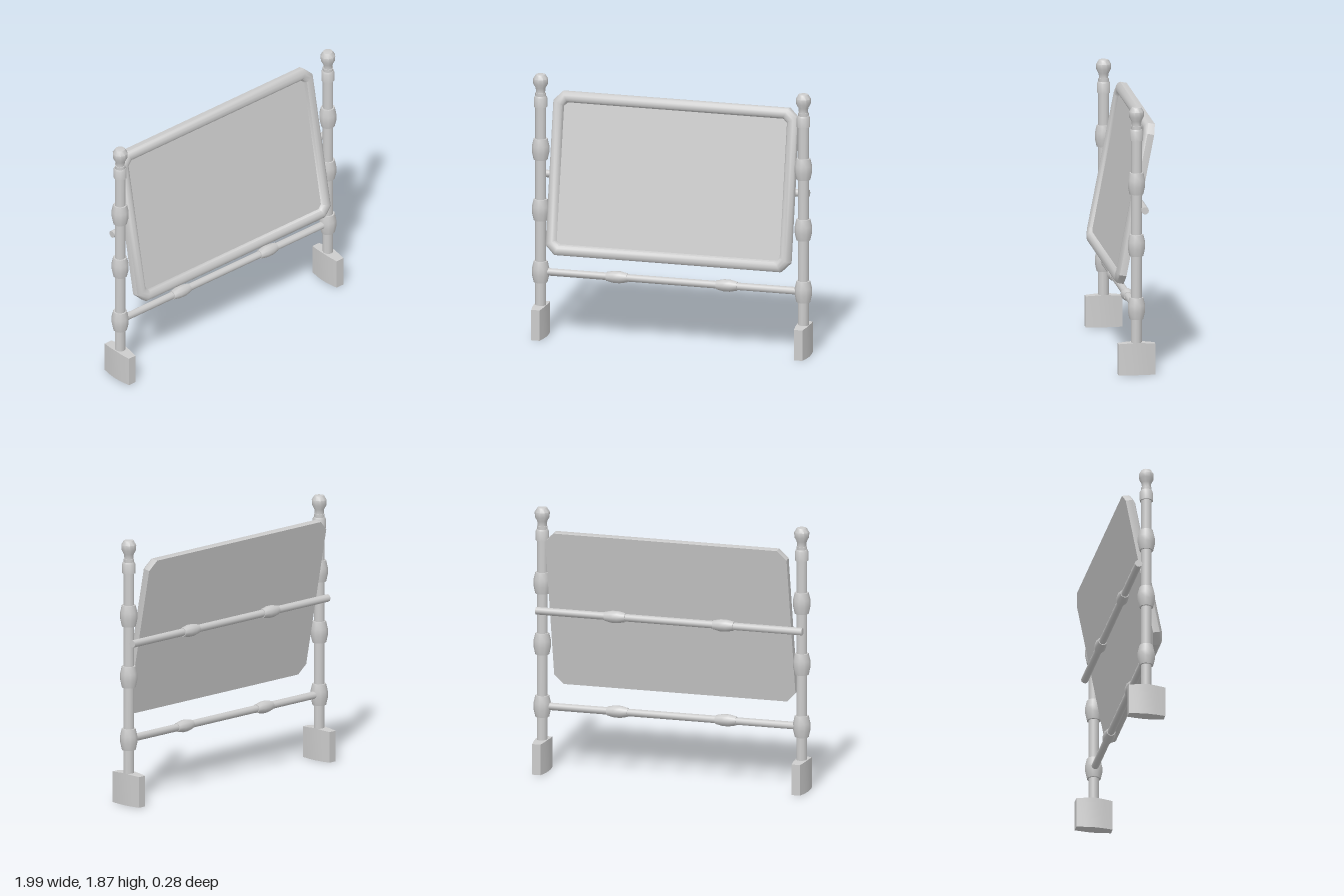
import * as THREE from 'three';
import { toCreasedNormals } from 'three/addons/utils/BufferGeometryUtils.js';

const material = new THREE.MeshStandardMaterial({ color: 0xcccccc });
const SIDES = 10;

function addMesh(parent, name, geometry, crease = 0.75) {
  const mesh = new THREE.Mesh(toCreasedNormals(geometry, crease), material);
  mesh.name = name;
  parent.add(mesh);
  return mesh;
}

// Turned part from [radius, height] pairs
const turned = (profile) =>
  new THREE.LatheGeometry(profile.map(([r, y]) => new THREE.Vector2(r, y)), SIDES);

// Barrel-shaped bead centred on its own axis
const bead = (end, mid, half) => turned([
  [0, -half], [end, -half], [mid, -half * 0.3], [mid, half * 0.3], [end, half], [0, half],
]);

// Rectangle with cut corners, anticlockwise
const cutRectangle = (w, h, c) => [
  [w, -h + c], [w, h - c], [w - c, h], [-w + c, h],
  [-w, h - c], [-w, -h + c], [-w + c, -h], [w - c, -h],
];

// Upright post with beads, collar, ball finial and foot
function createPost(side) {
  const post = new THREE.Group();
  post.name = side > 0 ? 'leftPost' : 'rightPost';
  post.position.x = side * 0.94;
  const shaft = addMesh(post, 'shaft', new THREE.CylinderGeometry(0.037, 0.037, 1.53, SIDES));
  shaft.position.y = 0.965;
  for (const y of [0.46, 0.9, 1.33]) {
    addMesh(post, 'postBead', bead(0.048, 0.06, 0.075)).position.y = y;
  }
  addMesh(post, 'collar', turned([
    [0, 1.63], [0.046, 1.63], [0.046, 1.695], [0.04, 1.708], [0, 1.708],
  ]));
  addMesh(post, 'finial', turned([
    [0.035, 1.7], [0.031, 1.735], [0.035, 1.765], [0.051, 1.795],
    [0.052, 1.83], [0.034, 1.86], [0, 1.866],
  ]));

  // Foot: blunt oval plan, its top falling slightly to the ends
  const plan = [[0.03, 0.127], [0.04, 0.065], [0.045, 0], [0.04, -0.065], [0.03, -0.127]];
  const outline = [...plan, ...plan.map(([x, z]) => [-x, -z])];
  const shape = new THREE.Shape(outline.map(([x, z]) => new THREE.Vector2(x, z)));
  const foot = new THREE.ExtrudeGeometry(shape, { depth: 0.225, bevelEnabled: false });
  foot.rotateX(-Math.PI / 2);
  const p = foot.attributes.position;
  for (let i = 0; i < p.count; i++) {
    if (p.getY(i) > 0.1) p.setY(i, 0.226 - 0.08 * Math.abs(p.getZ(i)));
  }
  addMesh(post, 'foot', foot);
  return post;
}

// Cross rail with two beads
function createRail(name, halfLength, y, z) {
  const rail = new THREE.Group();
  rail.name = name;
  rail.position.set(0, y, z);
  const rod = new THREE.CylinderGeometry(0.026, 0.026, halfLength * 2, SIDES);
  addMesh(rail, 'rod', rod.rotateZ(Math.PI / 2));
  for (const side of [-1, 1]) {
    const b = addMesh(rail, 'railBead', bead(0.031, 0.042, 0.075).rotateZ(Math.PI / 2));
    b.position.x = side * 0.393;
  }
  return rail;
}

// Tilted panel: rounded moulding swept round a cut-corner rectangle
function createPanel() {
  const panel = new THREE.Group();
  panel.name = 'tiltedPanel';
  panel.position.set(0, 1.169, -0.001);
  panel.rotation.x = -0.193;
  const W = 0.874, H = 0.566;
  const section = [ // [distance in from the outer edge, depth]
    [0, -0.035], [0, 0.012], [0.01, 0.026], [0.027, 0.035],
    [0.05, 0.035], [0.067, 0.025], [0.077, 0.004],
  ];
  const positions = [], indices = [];
  section.forEach(([d, z]) => {
    const cut = 0.066 - (d / 0.077) * 0.04;
    for (const [x, y] of cutRectangle(W - d, H - d, cut)) positions.push(x, y, z);
  });
  for (let r = 0; r < section.length - 1; r++) {
    for (let i = 0; i < 8; i++) {
      const j = (i + 1) % 8;
      const a = r * 8 + i, b = r * 8 + j, c = a + 8, d = b + 8;
      indices.push(a, b, d, a, d, c);
    }
  }
  const moulding = new THREE.BufferGeometry();
  moulding.setAttribute('position', new THREE.Float32BufferAttribute(positions, 3));
  moulding.setIndex(indices);
  addMesh(panel, 'frame', moulding);

  // Flat front face and backing board
  const flat = (w, h, c) => new THREE.ShapeGeometry(
    new THREE.Shape(cutRectangle(w, h, c).map(([x, y]) => new THREE.Vector2(x, y))));
  addMesh(panel, 'face', flat(W - 0.076, H - 0.076, 0.026)).position.z = 0.005;
  addMesh(panel, 'backing', flat(W, H, 0.066).rotateY(Math.PI)).position.z = -0.035;
  return panel;
}

export function createModel() {
  const model = new THREE.Group();
  model.name = 'tiltingPanelStand';
  for (const side of [-1, 1]) model.add(createPost(side));
  model.add(createPanel());
  model.add(createRail('lowerRail', 0.93, 0.46, 0));
  model.add(createRail('pivotRail', 0.965, 1.142, -0.058));
  return model;
}
